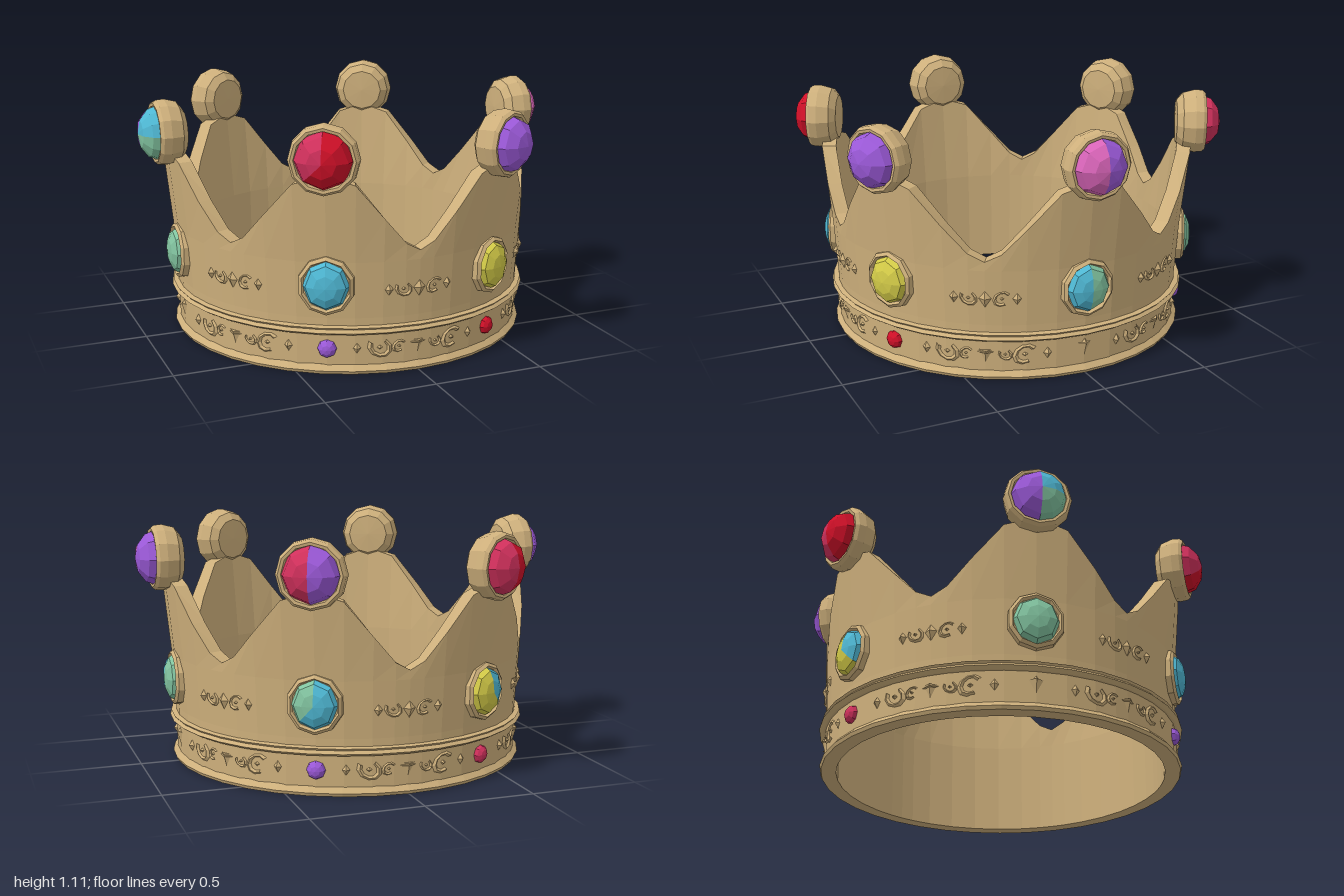
import * as THREE from 'three';

const DEG = Math.PI / 180;
const mat = (name, color) => Object.assign(new THREE.MeshStandardMaterial({ color }), { name });

// Faceted look: every triangle gets its own normal
function faceted(geo) {
  const g = geo.index ? geo.toNonIndexed() : geo;
  g.computeVertexNormals();
  return g;
}

export function createModel() {
  const crown = new THREE.Group();
  crown.name = 'crown';
  const gold = mat('gold', 0xceb07c);
  const gemMats = {
    r: mat('red', 0xd01028),
    k: mat('crimson', 0xd0305c),
    m: mat('pink', 0xd864b8),
    p: mat('purple', 0x9b59d8),
    c: mat('cyan', 0x4fb8d4),
    g: mat('green', 0x82c4a0),
    y: mat('yellow', 0xd4cc48),
  };

  const add = (parent, name, geo, material = gold) => {
    const m = new THREE.Mesh(geo, material);
    m.name = name;
    parent.add(m);
    return m;
  };
  // Group on the crown's surface: its z points outward, its x to the viewer's right
  const spot = (name, azimuth, radius, y) => {
    const a = azimuth * DEG, g = new THREE.Group();
    g.name = name;
    g.rotation.y = a;
    g.position.set(Math.sin(a) * radius, y, Math.cos(a) * radius);
    crown.add(g);
    return g;
  };
  const lathe = (profile, sides) =>
    faceted(new THREE.LatheGeometry(profile.map(([r, y]) => new THREE.Vector2(r, y)), sides));

  // Wall: one closed cross-section per column, its top following the points and valleys
  const peaks = [28, 90, 152, 208, 270, 332];
  const steps = [[0, 0.88], [0.15, 0.84], [0.3, 0.69], [0.42, 0.575], [0.5, 0.54],
    [0.58, 0.575], [0.7, 0.69], [0.85, 0.84]];
  const columns = [];
  peaks.forEach((p, i) => {
    const next = i < 5 ? peaks[i + 1] : peaks[0] + 360;
    for (const [t, h] of steps) columns.push([p + (next - p) * t, h]);
  });
  const rings = columns.map(([az, h]) => {
    const outer = 0.83 + 0.04 * (h - 0.54) / 0.34;
    const section = [[0.81, 0], [0.815, 0.25], [0.83, 0.5], [outer, h], [outer - 0.065, h],
      [0.765, 0.45], [0.755, 0]];
    return section.map(([r, y]) => [Math.sin(az * DEG) * r, y, Math.cos(az * DEG) * r]);
  });
  const pos = [];
  rings.forEach((a, i) => {
    const b = rings[(i + 1) % rings.length];
    a.forEach((_, j) => {
      const k = (j + 1) % a.length;
      pos.push(...a[j], ...b[j], ...b[k], ...a[j], ...b[k], ...a[k]);
    });
  });
  const wall = new THREE.BufferGeometry();
  wall.setAttribute('position', new THREE.Float32BufferAttribute(pos, 3));
  add(crown, 'wall', faceted(wall));

  // Raised rims below and above the base band
  add(crown, 'bottomRim', lathe([[0.76, 0], [0.825, 0], [0.832, 0.015], [0.81, 0.04], [0.78, 0.04]], 36));
  add(crown, 'bandRim', lathe([[0.79, 0.175], [0.825, 0.178], [0.843, 0.19], [0.83, 0.203],
    [0.838, 0.212], [0.79, 0.222]], 36));

  // Gem: a faceted dome whose eight sectors run top, left, bottom, right
  function gem(parent, name, sectors, radius, height, z, stretch = 1) {
    let start = 0;
    for (let i = 1; i <= 8; i++) {
      if (i < 8 && sectors[i] === sectors[start]) continue;
      const dome = new THREE.SphereGeometry(radius, i - start, 3,
        -Math.PI / 2 + start * Math.PI / 4, (i - start) * Math.PI / 4, 0, Math.PI / 2);
      dome.rotateX(Math.PI / 2).scale(1, stretch, height / radius);
      add(parent, name, faceted(dome), gemMats[sectors[start]]).position.z = z;
      start = i;
    }
  }

  // Bezels facing outward along z
  const topBezel = lathe([[0, -0.078], [0.1, -0.073], [0.135, -0.045], [0.15, 0.01],
    [0.147, 0.045], [0.135, 0.06], [0.122, 0.058], [0.118, 0.035], [0, 0.035]], 12).rotateX(Math.PI / 2);
  const wallBezel = lathe([[0.125, -0.03], [0.122, 0.012], [0.108, 0.024], [0.1, 0.008], [0, 0.008]], 10)
    .rotateX(Math.PI / 2);

  // Sector colours of the top, wall and band gems at each point
  const jewels = [
    ['pppppppp', 'yyyyyyyy', 'rrrrrrrr'],
    ['mmmmpppp', 'ccccgggg', null],
    ['kkkkpppp', 'gggccccc', 'pppppppp'],
    ['kkkkrrrr', 'yyyyyccc', 'kkkkkkkk'],
    ['ppppggcc', 'gggggggg', null],
    ['kkkrrrrr', 'cccccccc', 'pppppppp'],
  ];
  peaks.forEach((az, i) => {
    const [top, mid, low] = jewels[i];
    const head = spot('topJewel', az, 0.867, 0.955);
    add(head, 'topBezel', topBezel);
    gem(head, 'topGem', top, 0.124, 0.093, 0.04);
    const side = spot('wallJewel', az, 0.826, 0.4);
    add(side, 'wallBezel', wallBezel).scale.y = 1.06;
    gem(side, 'wallGem', mid, 0.1, 0.05, 0.008, 1.08);
    if (low) gem(spot('bandJewel', az, 0.81, 0.112), 'bandGem', low, 0.042, 0.032, 0);
  });

  // Relief ornaments
  const scrollGeo = faceted(new THREE.TorusGeometry(0.036, 0.013, 4, 7, 4.6));
  const diamondGeo = faceted(new THREE.OctahedronGeometry(1));
  const spadeGeo = faceted(new THREE.ConeGeometry(0.035, 0.07, 4).rotateX(Math.PI));
  const scroll = (az, y, r, flip, size = 1) => {
    const s = spot('scroll', az, r, y);
    add(s, 'scrollCurl', scrollGeo).scale.set(1.25 * size, size, 1);
    add(s, 'scrollBud', diamondGeo).scale.set(0.018 * size, 0.014 * size, 0.02);
    s.rotation.z = 0;
    s.children[0].rotation.z = flip > 0 ? 0.6 : 2.6;
  };
  const diamond = (az, y, r, w, h) =>
    add(spot('diamond', az, r, y), 'diamondStud', diamondGeo).scale.set(w, h, 0.022);

  peaks.forEach((az, i) => {
    const next = i < 5 ? peaks[i + 1] : peaks[0] + 360;
    const valley = (az + next) / 2;
    // Cluster on the wall under each valley
    diamond(valley, 0.375, 0.818, 0.032, 0.045);
    for (const s of [-1, 1]) {
      scroll(valley + 5 * s, 0.375, 0.816, s, 0.75);
      diamond(valley + 9.5 * s, 0.375, 0.818, 0.022, 0.03);
    }
    // Band: spade under the valley, scrolls and studs on both sides
    const spade = add(spot('spade', valley, 0.808, 0.1), 'spadeLeaf', spadeGeo);
    spade.scale.z = 0.6;
    diamond(valley, 0.125, 0.808, 0.042, 0.014);
    for (const s of [-1, 1]) {
      scroll(valley + 12 * s, 0.115, 0.806, s);
      diamond(valley + 19 * s, 0.115, 0.806, 0.022, 0.032);
      scroll(valley + 6 * s, 0.115, 0.806, -s, 0.6);
    }
    // Points without a band gem carry a spade instead
    if (!jewels[i][2]) {
      add(spot('spade', az, 0.808, 0.105), 'spadeLeaf', spadeGeo).scale.z = 0.6;
      diamond(az, 0.135, 0.808, 0.02, 0.03);
    }
  });
  return crown;
}
